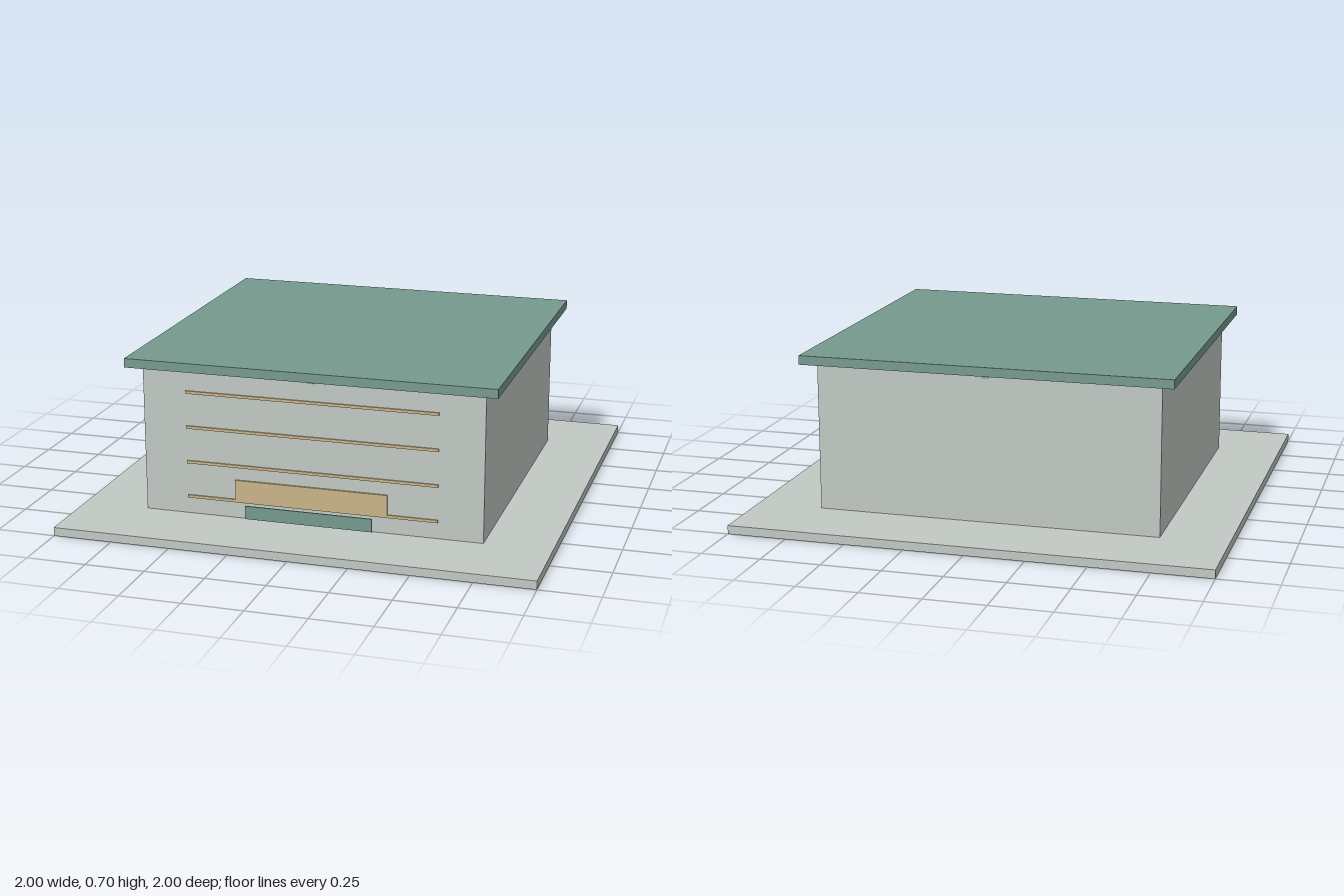
import * as THREE from 'three';

export function createModel() {
  const model = new THREE.Group();
  model.name = 'building';

  const mat = (name, color) => {
    const m = new THREE.MeshStandardMaterial({ color });
    m.name = name;
    return m;
  };
  const stone = mat('pale grey stone', 0xc2c9c4);
  const green = mat('muted green', 0x769a8d);
  const tan = mat('warm tan', 0xc9b586);

  // Box given by its size and the position of its centre
  const box = (name, material, w, h, d, x, y, z) => {
    const mesh = new THREE.Mesh(new THREE.BoxGeometry(w, h, d), material);
    mesh.name = name;
    mesh.position.set(x, y, z);
    model.add(mesh);
    return mesh;
  };

  // Ground slab, walls and overhanging flat roof
  box('groundSlab', stone, 2, 0.036, 2, 0, 0.018, 0);
  box('walls', stone, 1.44, 0.624, 1.36, 0, 0.348, 0);
  box('roof', green, 1.556, 0.038, 1.472, 0, 0.679, 0);

  // Small tie beams whose ends show just under the eaves
  box('crossTieBeam', green, 1.448, 0.02, 0.03, 0, 0.65, 0);
  box('longTieBeam', green, 0.03, 0.02, 1.368, 0, 0.65, 0);

  // Horizontal bands across the front
  for (let i = 0; i < 4; i++) {
    box('frontBand', tan, 1.066, 0.012, 0.006, 0, 0.112 + i * 0.15, 0.688);
  }

  // Entrance sign board and the step panel hung in front of it
  box('entranceBoard', tan, 0.648, 0.096, 0.008, 0, 0.154, 0.687);
  box('entrancePanel', green, 0.54, 0.056, 0.006, 0, 0.08, 0.725);

  return model;
}
